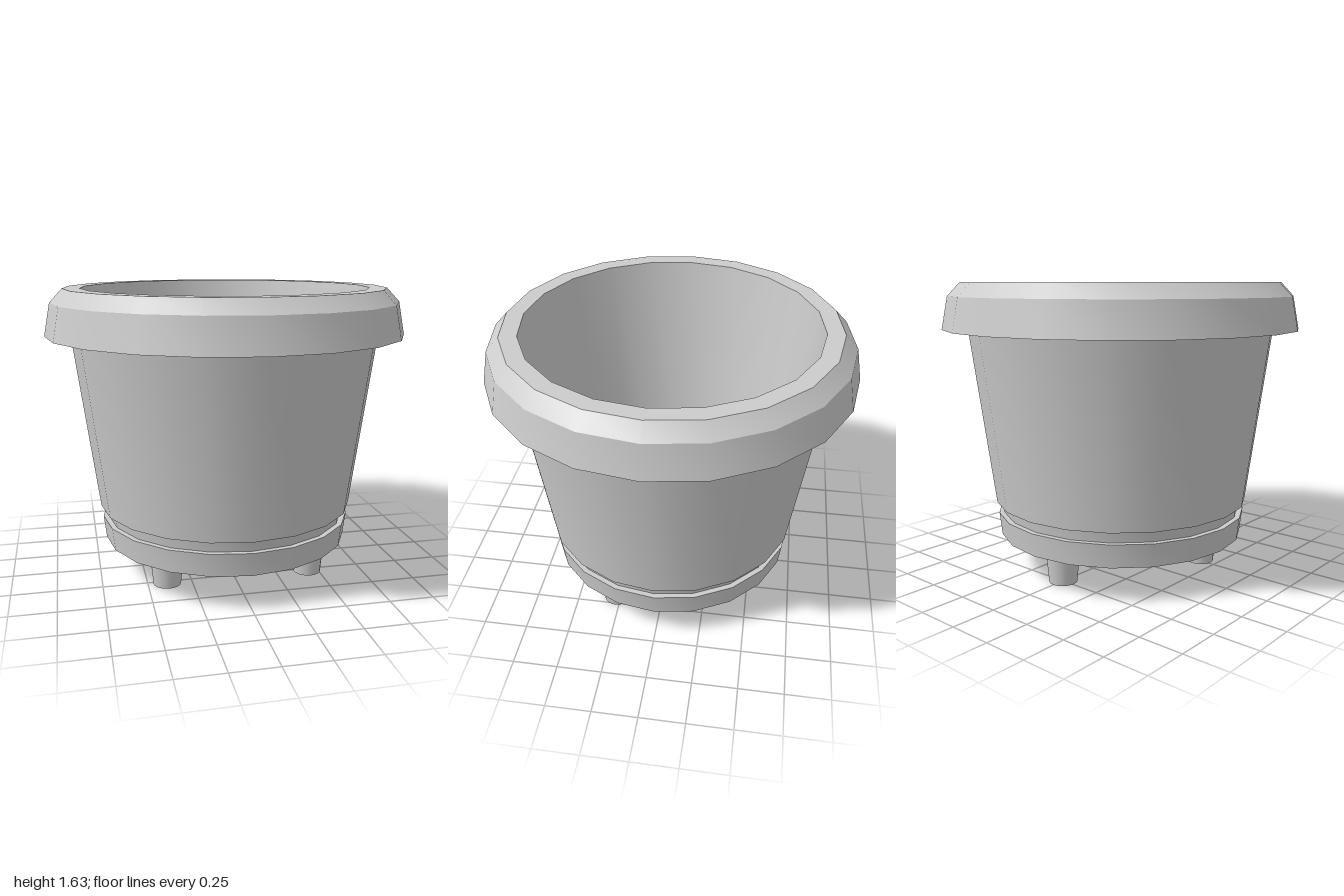
import * as THREE from 'three';
import { toCreasedNormals } from 'three/addons/utils/BufferGeometryUtils.js';

const SIDES = 20;
const material = new THREE.MeshStandardMaterial({ color: 0xcccccc });

// Turned part: profile of [radius, height], smooth around, sharp between steps
function turned(name, profile) {
  const points = profile.map(([r, y]) => new THREE.Vector2(r, y));
  const geometry = toCreasedNormals(new THREE.LatheGeometry(points, SIDES), 0.4);
  const mesh = new THREE.Mesh(geometry, material);
  mesh.name = name;
  return mesh;
}

export function createModel() {
  const group = new THREE.Group();
  group.name = 'plantPot';

  // Drip saucer under the pot
  group.add(turned('saucer', [
    [0, 0.2], [0.705, 0.2], [0.72, 0.33], [0.66, 0.33],
  ]));

  // Pot: recessed foot, tapered wall, hollow overhanging rim, inside wall and floor
  group.add(turned('pot', [
    [0.685, 0.3], [0.7, 0.395], [0.73, 0.395], // foot and step
    [0.88, 1.53], // outer wall
    [0.925, 1.53], [0.96, 1.38], // underside of the rim
    [1.0, 1.38], [0.965, 1.56], [0.895, 1.635], // outside of the rim
    [0.8, 1.635], [0.62, 0.27], [0, 0.27], // inside
  ]));

  // Three tapered feet in a triangle
  const footGeometry = new THREE.CylinderGeometry(0.097, 0.078, 0.2, 20);
  for (const [x, z] of [[-0.39, 0.27], [0.435, 0.27], [0, -0.495]]) {
    const foot = new THREE.Mesh(footGeometry, material);
    foot.name = 'foot';
    foot.position.set(x, 0.1, z);
    group.add(foot);
  }
  return group;
}
